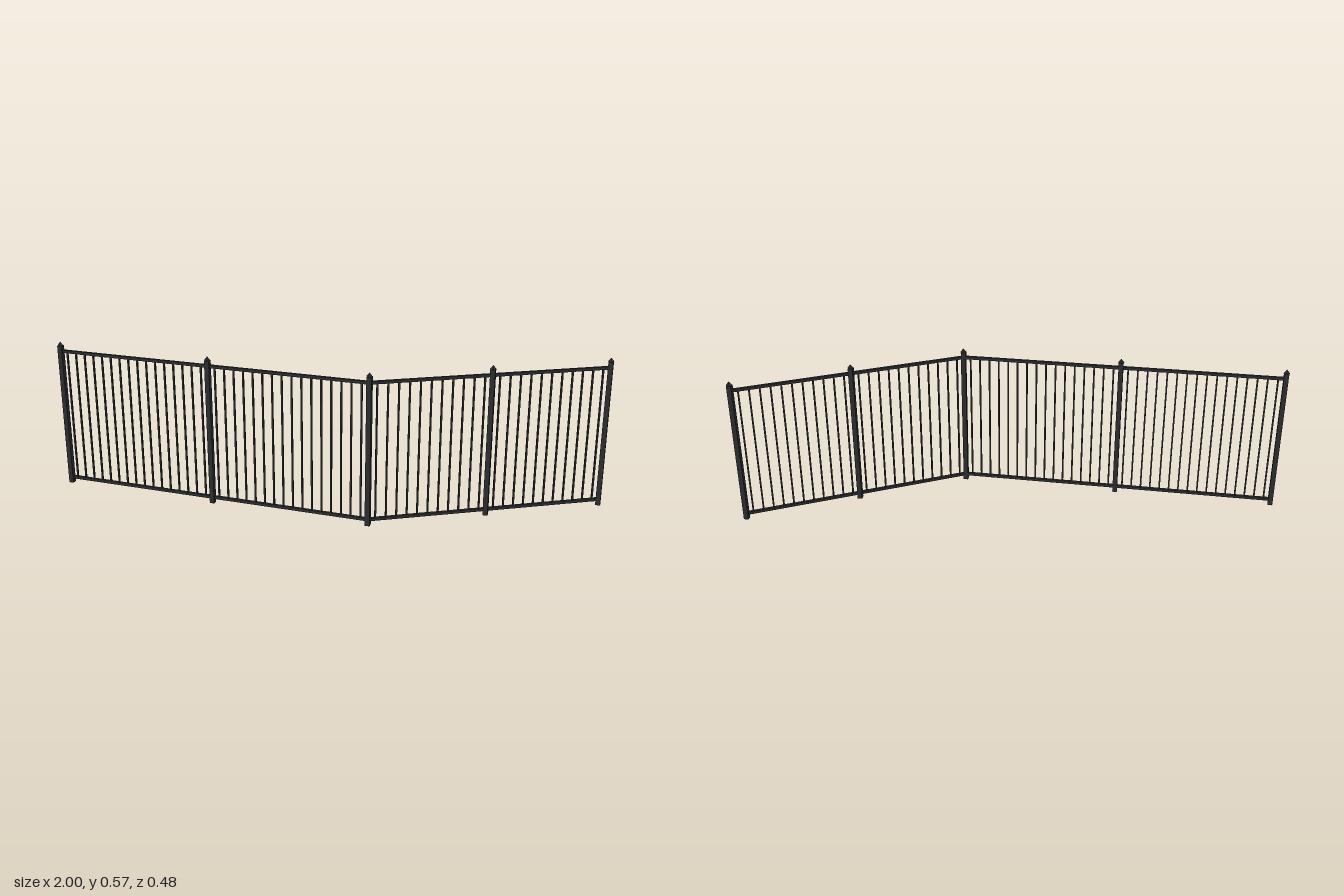
import * as THREE from 'three';

export function createModel() {
  const model = new THREE.Group();
  model.name = 'fence';
  const iron = new THREE.MeshStandardMaterial({ color: 0x2b2c2f, flatShading: true });

  const add = (parent, name, geometry, x, y, z) => {
    const mesh = new THREE.Mesh(geometry, iron);
    mesh.name = name;
    mesh.position.set(x, y, z);
    parent.add(mesh);
    return mesh;
  };

  // Post positions on the ground [x, z]; the run bends at the third post
  const posts = [[-0.988, 0.228], [-0.38, 0.228], [0.228, 0.228], [0.608, 0], [0.988, -0.228]];
  const postHeight = 0.555, capHeight = 0.015;
  const railSize = 0.011, lowRail = 0.0225, highRail = 0.5335;
  const margin = 0.0275;

  // Square posts with pointed caps
  const postGeo = new THREE.BoxGeometry(0.018, postHeight, 0.018);
  const capGeo = new THREE.ConeGeometry(0.0125, capHeight, 4);
  for (const [x, z] of posts) {
    add(model, 'post', postGeo, x, postHeight / 2, z);
    add(model, 'postCap', capGeo, x, postHeight + capHeight / 2, z);
  }

  // Panels: two rails and evenly spaced bars between neighbouring posts
  const barGeo = new THREE.BoxGeometry(0.006, highRail - lowRail, 0.006);
  const addPanel = ([x0, z0], [x1, z1], bars) => {
    const length = Math.hypot(x1 - x0, z1 - z0);
    const panel = new THREE.Group();
    panel.name = 'panel';
    panel.position.set((x0 + x1) / 2, 0, (z0 + z1) / 2);
    panel.rotation.y = Math.atan2(z0 - z1, x1 - x0);
    model.add(panel);

    const railGeo = new THREE.BoxGeometry(length, railSize, railSize);
    add(panel, 'bottomRail', railGeo, 0, lowRail, 0);
    add(panel, 'topRail', railGeo, 0, highRail, 0);
    for (let i = 0; i < bars; i++) {
      const x = (i / (bars - 1) - 0.5) * (length - 2 * margin);
      add(panel, 'bar', barGeo, x, (lowRail + highRail) / 2, 0);
    }
  };

  const barCounts = [16, 16, 11, 11];
  barCounts.forEach((count, i) => addPanel(posts[i], posts[i + 1], count));

  return model;
}
